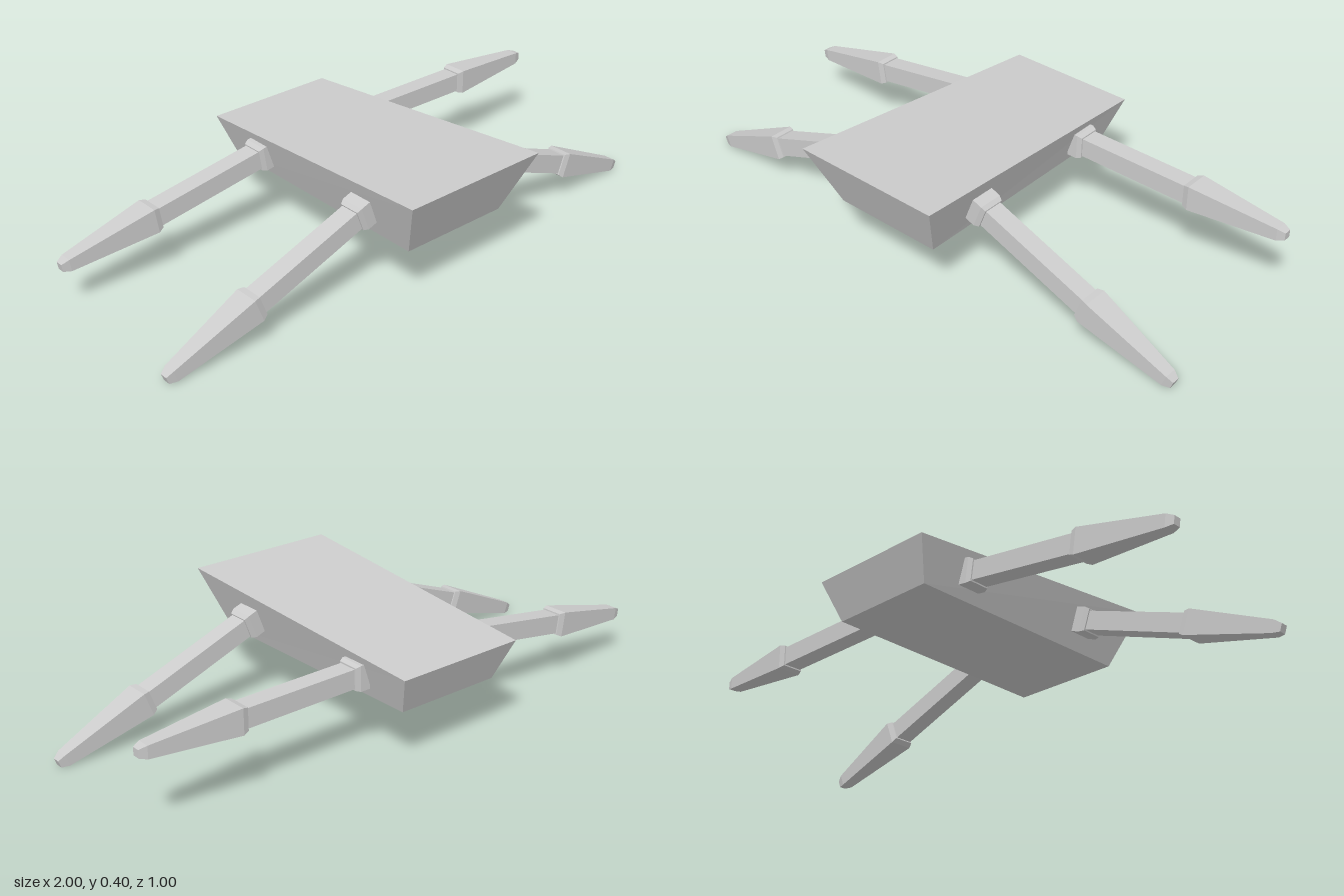
import * as THREE from 'three';

const grey = new THREE.MeshStandardMaterial({ color: 0xcccccc, flatShading: true });
grey.name = 'light grey';

// Square-section solid along +x from [position, half width] pairs, closed at both ends.
function squareLoft(name, sections) {
  const first = sections[0], last = sections[sections.length - 1];
  const points = [[first[0], 0], ...sections, [last[0], 0]]
    .map(([s, half]) => new THREE.Vector2(half * Math.SQRT2, s));
  const geometry = new THREE.LatheGeometry(points, 4, Math.PI / 4);
  geometry.rotateZ(-Math.PI / 2);
  const mesh = new THREE.Mesh(geometry, grey);
  mesh.name = name;
  return mesh;
}

// One limb: bevelled hip plate, straight upper part, tapering foot.
function makeLeg(name, x, y, z, drop) {
  const leg = new THREE.Group();
  leg.name = name;
  leg.add(
    squareLoft('hip', [[0, 0.043], [0.035, 0.043], [0.051, 0.037]]),
    squareLoft('upperLeg', [[0.03, 0.0325], [0.46, 0.0325]]),
    squareLoft('foot', [[0.45, 0.037], [0.47, 0.043], [0.775, 0.021], [0.8, 0.013]])
  );
  const angle = THREE.MathUtils.degToRad(drop);
  leg.position.set(x, y, z);
  leg.rotation.z = x > 0 ? -angle : Math.PI + angle;
  return leg;
}

// Wedge hull: wider on top, higher and wider at the front.
function makeBody() {
  const geometry = new THREE.BoxGeometry(1, 1, 1);
  const p = geometry.attributes.position;
  for (let i = 0; i < p.count; i++) {
    const side = Math.sign(p.getX(i)), top = p.getY(i) > 0, front = p.getZ(i) > 0;
    const half = top ? (front ? 0.268 : 0.232) : (front ? 0.195 : 0.188);
    const y = top ? (front ? 0.404 : 0.33) : 0.195;
    const z = top ? (front ? 0.5 : -0.5) : (front ? 0.41 : -0.445);
    p.setXYZ(i, side * half - 0.006, y, z);
  }
  geometry.computeVertexNormals();
  const body = new THREE.Mesh(geometry, grey);
  body.name = 'body';
  return body;
}

export function createModel() {
  const model = new THREE.Group();
  model.name = 'fourLeggedWalker';
  model.add(
    makeBody(),
    makeLeg('frontLeftLeg', 0.225, 0.297, 0.243, 20.6),
    makeLeg('frontRightLeg', -0.232, 0.29, 0.243, 20),
    makeLeg('backLeftLeg', 0.2, 0.274, -0.272, 0.3),
    makeLeg('backRightLeg', -0.209, 0.277, -0.272, 8.8)
  );
  return model;
}
